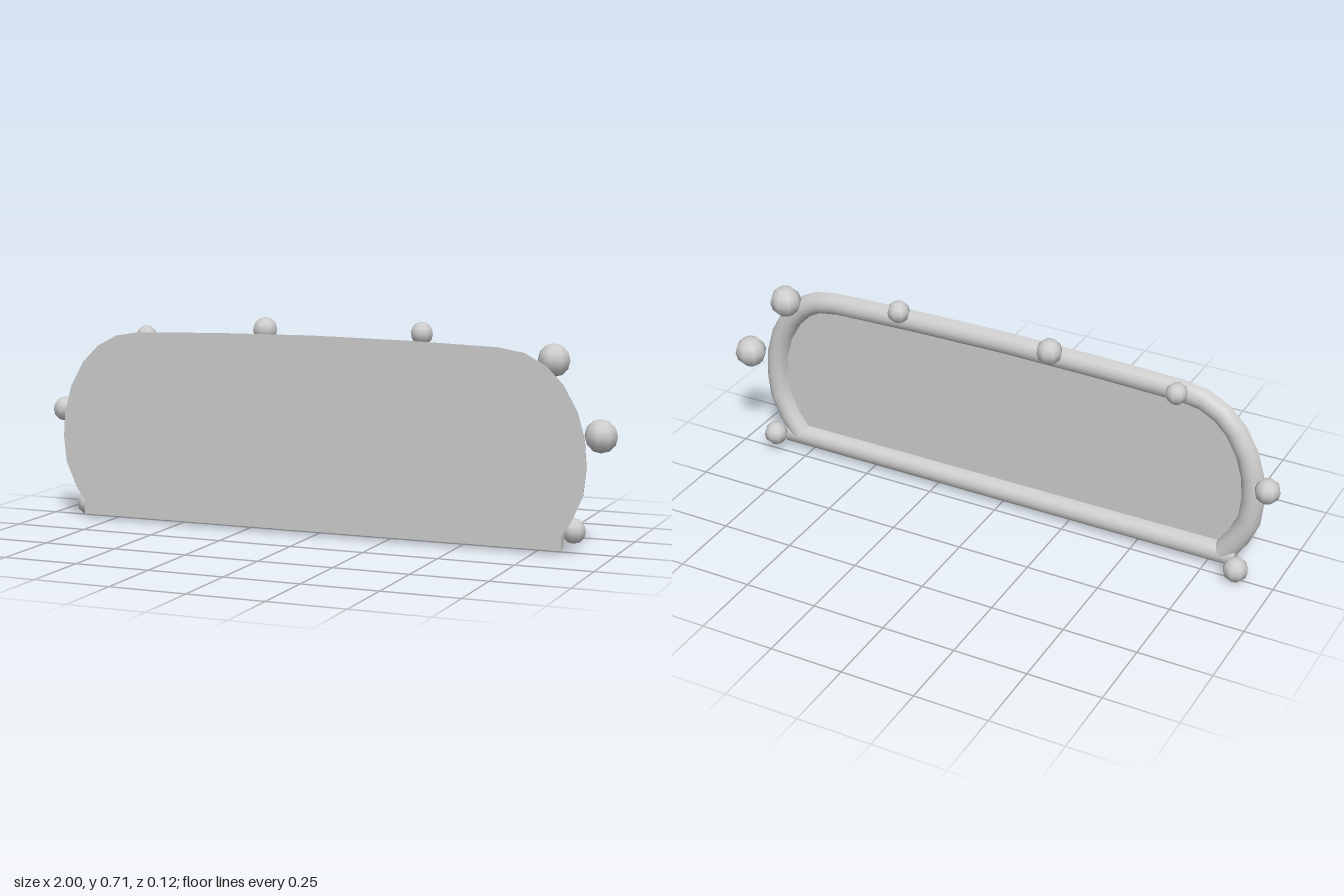
import * as THREE from 'three';
import { toCreasedNormals } from 'three/addons/utils/BufferGeometryUtils.js';

const FRONT = 0.055; // flat front plane
const R = 0.038;     // half-round moulding radius

// Sweeps a half-round section (flat to the front) along a path in the XY plane
function halfRound(points) {
  const sides = 8, n = sides + 1, pos = [], idx = [];
  points.forEach((p, i) => {
    const a = points[Math.max(i - 1, 0)], b = points[Math.min(i + 1, points.length - 1)];
    const t = b.clone().sub(a).normalize();
    for (let k = 0; k < n; k++) {
      const ang = Math.PI * k / sides, c = R * Math.cos(ang);
      pos.push(p.x - t.y * c, p.y + t.x * c, FRONT - R * Math.sin(ang));
    }
  });
  const last = (points.length - 1) * n;
  for (let i = 0; i < last; i += n) {
    for (let k = 0; k < n; k++) {
      const m = (k + 1) % n;
      idx.push(i + k, i + n + k, i + m, i + n + k, i + n + m, i + m);
    }
  }
  // end caps
  for (let k = 1; k < sides; k++) idx.push(0, k, k + 1, last, last + k + 1, last + k);
  const g = new THREE.BufferGeometry();
  g.setAttribute('position', new THREE.Float32BufferAttribute(pos, 3));
  g.setIndex(idx);
  return toCreasedNormals(g, 0.9);
}

export function createModel() {
  const group = new THREE.Group();
  const mat = new THREE.MeshStandardMaterial({ color: 0xcccccc });
  const thin = new THREE.MeshStandardMaterial({ color: 0xcccccc, side: THREE.DoubleSide });
  const add = (name, geometry, material = mat) => {
    const m = new THREE.Mesh(geometry, material);
    m.name = name;
    group.add(m);
    return m;
  };

  // Centre line of the arched frame, mirrored about a slightly shifted axis
  const axis = -0.007;
  const half = [
    [0.795, 0.052], [0.845, 0.125], [0.878, 0.2], [0.886, 0.28], [0.88, 0.36],
    [0.857, 0.44], [0.815, 0.515], [0.765, 0.565], [0.705, 0.597], [0.63, 0.609], [0.33, 0.618],
  ];
  const left = half.map(([x, y]) => new THREE.Vector2(axis + x, y));
  const right = half.map(([x, y]) => new THREE.Vector2(axis - x, y));
  const arch = [...right, new THREE.Vector2(axis, 0.622), ...left.reverse()];
  add('archedFrame', halfRound(arch));

  // Straight bottom rail, square-ended
  add('bottomRail', halfRound([new THREE.Vector2(-0.853, 0.052), new THREE.Vector2(0.84, 0.052)]));

  // Thin panel filling the frame
  add('panel', new THREE.ShapeGeometry(new THREE.Shape(arch)), thin).position.z = FRONT + 0.0005;

  // Beads spaced around the back of the frame: x, y, radius
  const beads = [
    [-0.872, 0.042, 0.042], [-0.959, 0.365, 0.042], [-0.64, 0.63, 0.036], [-0.2, 0.666, 0.043],
    [0.35, 0.674, 0.038], [0.79, 0.607, 0.053], [0.946, 0.375, 0.054], [0.862, 0.069, 0.041],
  ];
  beads.forEach(([x, y, r], i) => {
    add('bead' + (i + 1), new THREE.SphereGeometry(r, 8, 6)).position.set(x, y, -0.008);
  });
  return group;
}
